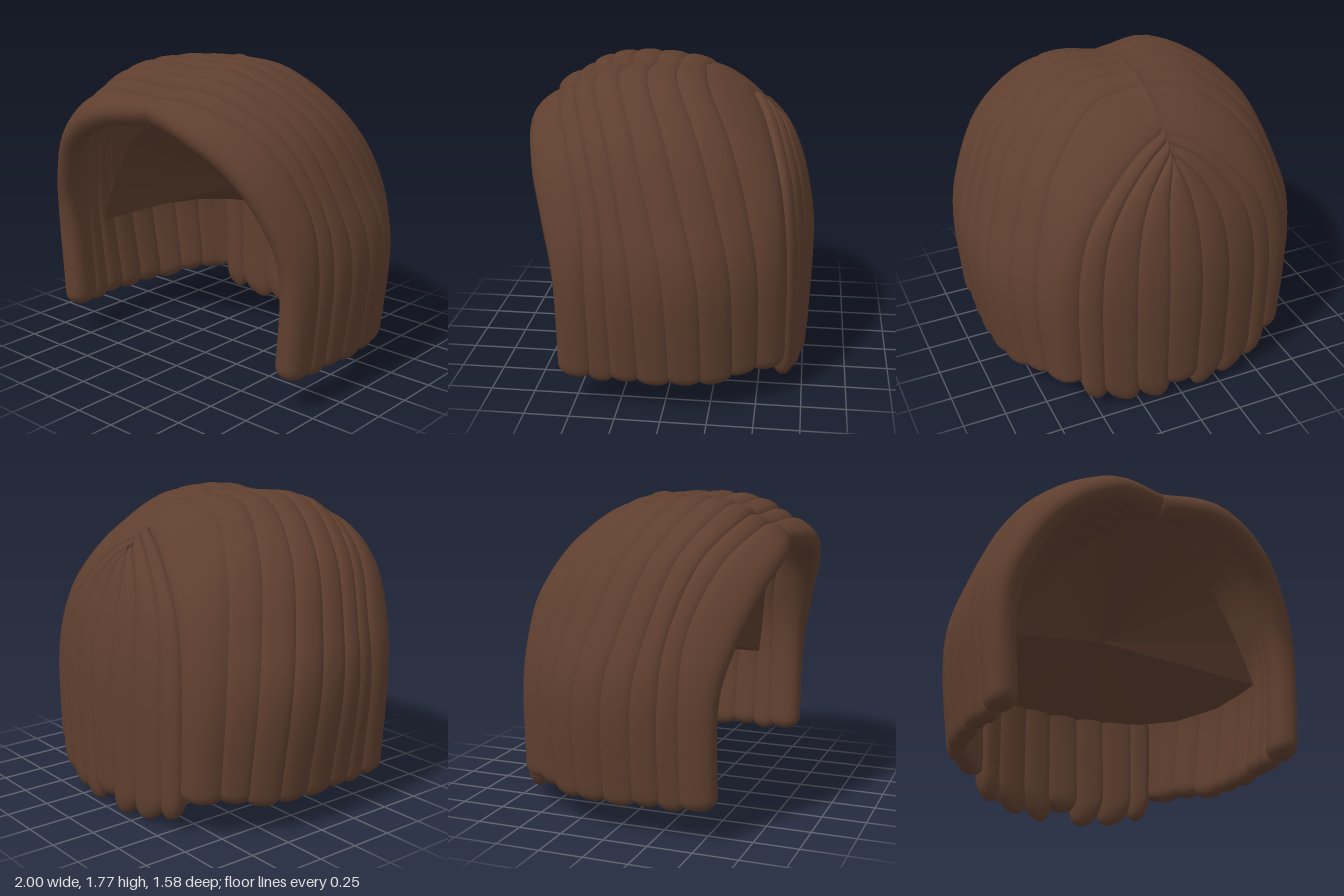
import * as THREE from 'three';

const hairMaterial = new THREE.MeshStandardMaterial({ color: 0x5f3f2f });

// Guide strands from the parting to the hem, front edge to back centre (+x half)
const GUIDES = [
  [[0, 1.49, .68], [.33, 1.455, .775], [.60, 1.30, .73], [.775, 1.05, .65], [.85, .75, .585], [.835, .19, .58]],
  [[0, 1.57, .58], [.33, 1.575, .62], [.66, 1.41, .52], [.84, 1.1, .42], [.90, .75, .40], [.85, .18, .40]],
  [[0, 1.67, .40], [.34, 1.68, .43], [.69, 1.46, .31], [.87, 1.1, .21], [.94, .75, .15], [.87, .18, .13]],
  [[0, 1.715, .14], [.34, 1.70, .15], [.67, 1.46, .02], [.84, 1.1, -.10], [.91, .75, -.18], [.84, .17, -.20]],
  [[0, 1.70, -.13], [.29, 1.65, -.17], [.55, 1.41, -.31], [.68, 1.1, -.41], [.74, .75, -.47], [.70, .20, -.48]],
  [[0, 1.55, -.41], [.17, 1.48, -.47], [.37, 1.31, -.54], [.51, 1.1, -.59], [.57, .75, -.62], [.56, .19, -.62]],
  [[0, 1.45, -.53], [0, 1.39, -.58], [0, 1.28, -.63], [0, 1.08, -.69], [0, .75, -.73], [0, .06, -.71]],
].map(points => points.map(p => new THREE.Vector3(...p)));
const LAST = GUIDES.length - 1;

// Uniform Catmull-Rom through four vectors
function blend(a, b, c, d, t) {
  const t2 = t * t, t3 = t2 * t;
  return new THREE.Vector3()
    .addScaledVector(a, (-t3 + 2 * t2 - t) / 2)
    .addScaledVector(b, (3 * t3 - 5 * t2 + 2) / 2)
    .addScaledVector(c, (-3 * t3 + 4 * t2 + t) / 2)
    .addScaledVector(d, (t3 - t2) / 2);
}

// Sample a list whose ends are continued by the getter
function sample(get, x, max) {
  const i = Math.min(Math.max(Math.floor(x), 0), max);
  return blend(get(i - 1), get(i), get(i + 1), get(i + 2), x - i);
}

// Guide point; past the back centre the guides are mirrored
function guidePoint(i, j) {
  if (i > LAST) return guidePoint(2 * LAST - i, j).clone().setX(-GUIDES[2 * LAST - i][j].x);
  if (i < 0) return GUIDES[0][j].clone().multiplyScalar(2).sub(GUIDES[1][j]);
  return GUIDES[i][j];
}

// Point on the hair shell: u runs front to back, v runs root (0) to hem (1)
function shell(u, v) {
  const column = j => {
    if (j < 0) return column(0).multiplyScalar(2).sub(column(1));
    if (j > 5) return column(5).multiplyScalar(2).sub(column(4));
    return sample(i => guidePoint(i, j), u, LAST);
  };
  return sample(column, v * 5, 4);
}

function shellNormal(u, v) {
  const e = 0.01;
  const du = shell(u + e, v).sub(shell(u - e, v));
  const dv = shell(u, v + e).sub(shell(u, v - e));
  return dv.cross(du).normalize();
}

const soft = (x, power) => Math.sign(x) * Math.abs(x) ** power;

// One lock: a flattened oval swept down the shell and rounded off at the hem.
// Side locks start past the parting and are cut flat on it (x = 0).
function lockGeometry({ from, to, thick, drop = 0, skew = 0, tip = 0.025, central = false }, side) {
  const rows = 44, ring = 28, positions = [], index = [];
  const mid = (from + to) / 2, half = (to - from) / 2 * 1.3;
  const start = central ? 0.02 : -0.03;
  for (let i = 0; i <= rows; i++) {
    const v = start + (1 - start) * Math.sin(i / rows * Math.PI / 2);
    const q = Math.max(0, (v - 1 + tip) / tip);
    const scale = Math.sqrt(Math.max(0, 1 - q * q));
    const lower = THREE.MathUtils.smoothstep(v, 0.8, 1);
    for (let j = 0; j < ring; j++) {
      const a = j / ring * Math.PI * 2, across = soft(Math.cos(a), 0.8);
      const u = mid + half * scale * across;
      const p = shell(u, v);
      p.addScaledVector(shellNormal(u, v), thick * scale * soft(Math.sin(a), 0.85));
      const x = central ? p.x : Math.max(0, p.x);
      positions.push(x * side, p.y - lower * (drop + skew * across * scale), p.z);
    }
  }
  for (let i = 0; i < rows; i++) {
    for (let j = 0; j < ring; j++) {
      const a = i * ring + j, b = i * ring + (j + 1) % ring, c = a + ring, d = b + ring;
      if (side > 0) index.push(a, b, c, b, d, c);
      else index.push(a, c, b, b, c, d);
    }
  }
  const geometry = new THREE.BufferGeometry();
  geometry.setAttribute('position', new THREE.Float32BufferAttribute(positions, 3));
  geometry.setIndex(index);
  geometry.computeVertexNormals();
  return geometry;
}

// Faceted hollow inside the crown: a fan from the centre to the front arch
// and on around the level rim at the back
function scalpGeometry() {
  const half = [
    [.25, .7, -.66], [.5, .7, -.58], [.68, .7, -.42], [.8, .7, -.12], [.81, .7, .12],
    [.8, .7, .31], [.66, .92, .37], [.5, 1.13, .43], [.34, 1.3, .5], [.15, 1.42, .57],
  ];
  const mirrored = half.map(([x, y, z]) => [-x, y, z]).reverse();
  const rim = [[0, .7, -.69], ...half, [0, 1.46, .61], ...mirrored];
  const centre = [0, 1, -.13], positions = [];
  rim.forEach((p, i) => positions.push(...centre, ...p, ...rim[(i + 1) % rim.length]));
  const geometry = new THREE.BufferGeometry();
  geometry.setAttribute('position', new THREE.Float32BufferAttribute(positions, 3));
  geometry.computeVertexNormals();
  return geometry;
}

export function createModel() {
  const group = new THREE.Group();
  group.name = 'bobHair';
  const add = (geometry, name, material = hairMaterial) => {
    const mesh = new THREE.Mesh(geometry, material);
    mesh.name = name;
    group.add(mesh);
  };

  // Side locks, front to back, then the longer back locks
  const seams = [1, 1.5, 2, 2.5, 3, 3.5, 4, 4.9];
  const locks = [{ name: 'frontLock', from: 0.13, to: 1, thick: 0.078 }];
  seams.slice(1).forEach((to, i) => locks.push({
    name: 'sideLock', from: seams[i], to, thick: 0.06, drop: i % 2 ? 0 : 0.01,
  }));
  locks.push(
    { name: 'backLock', from: 5, to: 5.25, thick: 0.06, drop: 0.1, skew: 0.02, tip: 0.04 },
    { name: 'backLock', from: 5.25, to: 5.56, thick: 0.06, drop: 0.09, skew: 0.03, tip: 0.04 },
    { name: 'backLock', from: 5.56, to: 5.84, thick: 0.06, drop: 0.06, skew: 0.04, tip: 0.04 },
  );
  for (const lock of locks) {
    add(lockGeometry(lock, 1), lock.name + 'Left');
    add(lockGeometry(lock, -1), lock.name + 'Right');
  }
  add(lockGeometry({ from: 5.84, to: 6.16, thick: 0.06, drop: -0.02, central: true }, 1), 'backLockCentre');

  // Inner scalp
  const scalpMaterial = hairMaterial.clone();
  scalpMaterial.flatShading = true;
  add(scalpGeometry(), 'scalp', scalpMaterial);

  // Rest the lowest tips on the ground
  group.position.y = -new THREE.Box3().setFromObject(group).min.y;
  return group;
}
